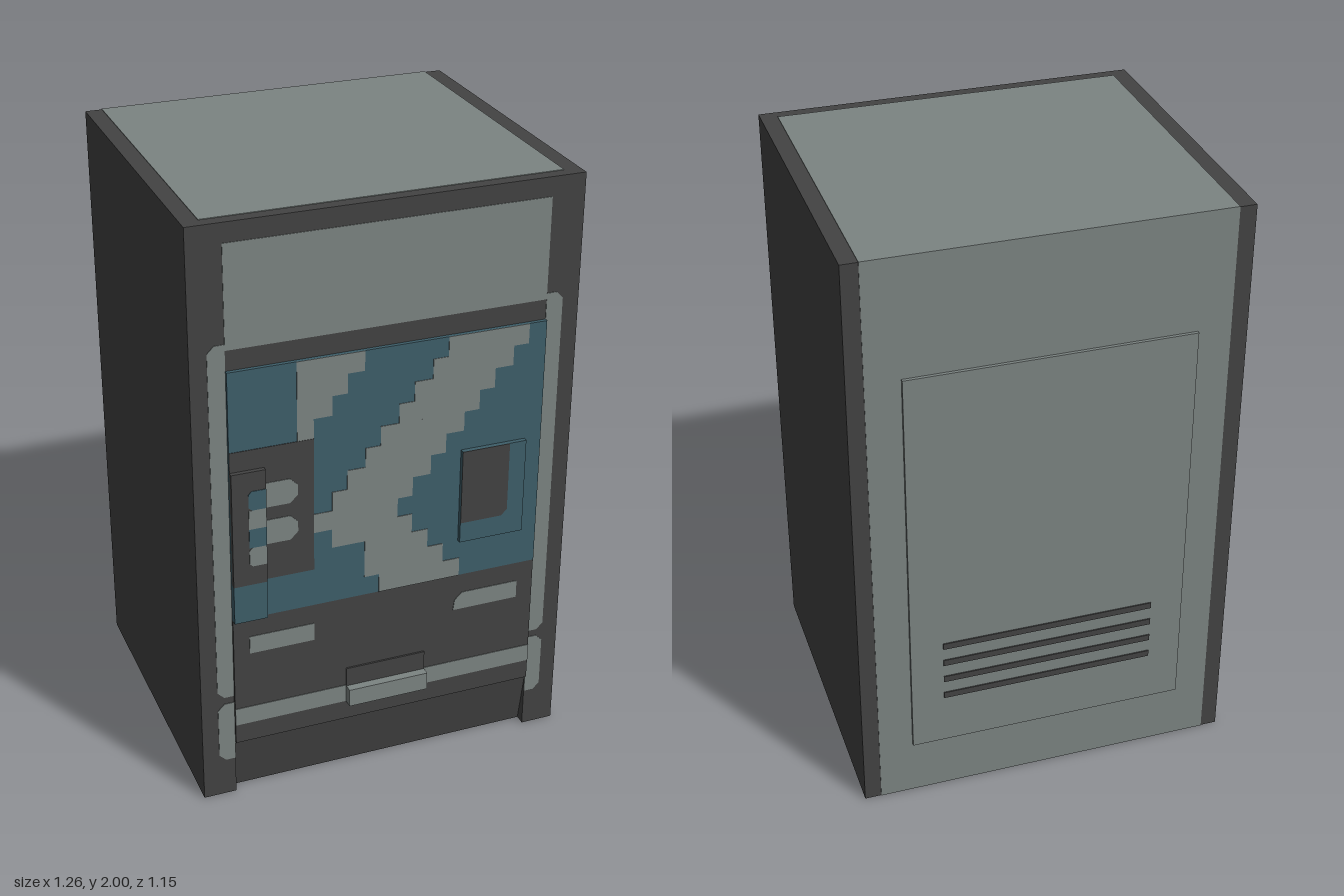
import * as THREE from 'three';

export function createModel() {
  const model = new THREE.Group();
  model.name = 'vendingCabinet';
  const material = (name, color) => {
    const m = new THREE.MeshStandardMaterial({ color });
    m.name = name;
    return m;
  };
  const dark = material('charcoal', 0x434343);
  const grey = material('grey', 0x7c8482);
  const teal = material('teal', 0x3e5e69);

  const add = (name, geometry, mat, parent = model) => {
    const mesh = new THREE.Mesh(geometry, mat);
    mesh.name = name;
    parent.add(mesh);
    return mesh;
  };
  // Box given by its limits on each axis
  const box = (name, mat, x0, x1, y0, y1, z0, z1, parent) => {
    const g = new THREE.BoxGeometry(x1 - x0, y1 - y0, z1 - z0);
    g.translate((x0 + x1) / 2, (y0 + y1) / 2, (z0 + z1) / 2);
    return add(name, g, mat, parent);
  };
  // Thin painted plate facing the front, cut from an outline
  const plate = (name, mat, points, z, parent, depth = 0.002) => {
    const shape = new THREE.Shape(points.map(([x, y]) => new THREE.Vector2(x, y)));
    const g = new THREE.ExtrudeGeometry(shape, { depth, bevelEnabled: false });
    g.translate(0, 0, z);
    return add(name, g, mat, parent);
  };
  // Outline of a rectangle with chosen chamfers on its left and right corners
  const outline = (x0, x1, y0, y1, left = 0, right = 0) => [
    [x0 + left, y0], [x1 - right, y0], [x1, y0 + right], [x1, y1 - right],
    [x1 - right, y1], [x0 + left, y1], [x0, y1 - left], [x0, y0 + left],
  ].filter((p, i, a) => {
    const q = a[(i + 1) % a.length];
    return p[0] !== q[0] || p[1] !== q[1];
  });

  const front = 0.53, back = -0.56;

  // Cabinet core with a kick panel sloping in at the foot
  const profile = new THREE.Shape([
    [back, 0], [0.495, 0], [front, 0.2], [front, 1.998], [back, 1.998],
  ].map(([z, y]) => new THREE.Vector2(z, y)));
  const core = new THREE.ExtrudeGeometry(profile, { depth: 1.04, bevelEnabled: false });
  core.rotateY(-Math.PI / 2);
  core.translate(0.52, 0, 0);
  add('cabinetCore', core, dark);

  for (const s of [-1, 1]) {
    const side = s > 0 ? 'left' : 'right';
    const span = (a, b) => (s > 0 ? [a, b] : [-b, -a]);
    box(side + 'SideWall', dark, ...span(0.52, 0.63), 0, 1.998, back, front);
    // Trim strips with rounded outer corners
    for (const [name, y0, y1] of [['UpperTrim', 0.38, 1.62], ['LowerTrim', 0.135, 0.355]]) {
      const c = 0.022;
      plate(side + name, grey,
        outline(...span(0.52, 0.575), y0, y1, s < 0 ? c : 0, s > 0 ? c : 0), front);
    }
  }

  // Painted roof, rear skin, its turned-in lower edge and the front header
  box('roofPanel', grey, -0.575, 0.575, 1.997, 2, back, 0.49);
  box('rearSkin', grey, -0.575, 0.575, 0, 2, back - 0.002, back);
  box('rearLowerEdge', grey, -0.56, 0.56, -0.001, 0.001, back, back + 0.025);
  box('headerPanel', grey, -0.52, 0.52, 1.6, 1.935, front, front + 0.002);

  // Rear service hatch and vent slats
  box('rearHatch', grey, -0.465, 0.463, 0.2, 1.6, -0.573, back);
  for (let i = 0; i < 4; i++) {
    const y = 0.39 + i * 0.067;
    box('ventSlat', dark, -0.355, 0.355, y - 0.011, y + 0.011, -0.577, -0.573);
  }

  // Front door: painted upper panel and dark lower panel
  const door = new THREE.Group();
  door.name = 'frontDoor';
  model.add(door);
  const face = 0.543;
  box('upperDoor', teal, -0.52, 0.52, 0.67, 1.533, front, face, door);
  box('lowerDoor', dark, -0.52, 0.52, 0.2, 0.67, front, 0.541, door);
  box('keypadField', dark, -0.52, -0.25, 0.803, 1.267, face, face + 0.002, door);

  // Stepped chevron, one strip per row from the bottom up
  const rowHeight = 0.0664;
  const row = (name, i, x0, x1) => box(name, grey, x0, x1,
    0.67 + i * rowHeight, 0.67 + (i + 1) * rowHeight, face, face + 0.002, door);
  [
    [-0.03, 0.25], [-0.08, 0.19], [-0.08, 0.135], [-0.19, 0.08], [-0.25, 0.03],
    [-0.19, 0.08], [-0.14, 0.14], [-0.08, 0.19], [-0.03, 0.25], [0.03, 0.3],
    [0.08, 0.35], [0.14, 0.41], [0.19, 0.46],
  ].forEach(([a, b], i) => row('chevronRow', i, a, b));
  [-0.25, -0.19, -0.14, -0.085].forEach((x, i) => row('upperStripeRow', 9 + i, -0.303, x));

  // Raised handle block with selection pads beside it
  box('handleBlock', dark, -0.52, -0.41, 0.803, 1.2, front, 0.56, door);
  box('handleFoot', teal, -0.52, -0.41, 0.67, 0.803, front, 0.56, door);
  for (const y of [0.93, 1.06]) {
    plate('selectionPad', grey, outline(-0.41, -0.303, y, y + 0.085, 0, 0.025), 0.545, door);
  }
  for (let i = 0; i < 4; i++) {
    const y = 0.87 + i * 0.066;
    plate('handleStripe', i % 2 ? teal : grey,
      outline(-0.467, -0.41, y, y + 0.066, i === 0 || i === 3 ? 0.01 : 0, 0), 0.56, door);
  }

  // Raised coin panel with a dark face
  box('coinPanel', teal, 0.243, 0.463, 0.803, 1.133, front, 0.558, door);
  plate('coinFace', dark,
    [[0.243, 0.875], [0.385, 0.875], [0.405, 0.895], [0.405, 1.133], [0.243, 1.133]], 0.558, door);

  // Lower door details
  plate('rightSlot', grey, outline(-0.467, -0.25, 0.537, 0.6), 0.541, door);
  plate('leftSlot', grey,
    [[0.235, 0.537], [0.463, 0.537], [0.463, 0.6], [0.265, 0.6], [0.24, 0.575]], 0.541, door);
  box('bumperStripe', grey, -0.52, 0.52, 0.27, 0.333, 0.541, 0.543, door);
  box('deliveryFlap', dark, -0.14, 0.135, 0.333, 0.4, front, 0.547, door);
  box('deliveryTray', grey, -0.14, 0.135, 0.27, 0.333, front, 0.575, door);

  return model;
}
